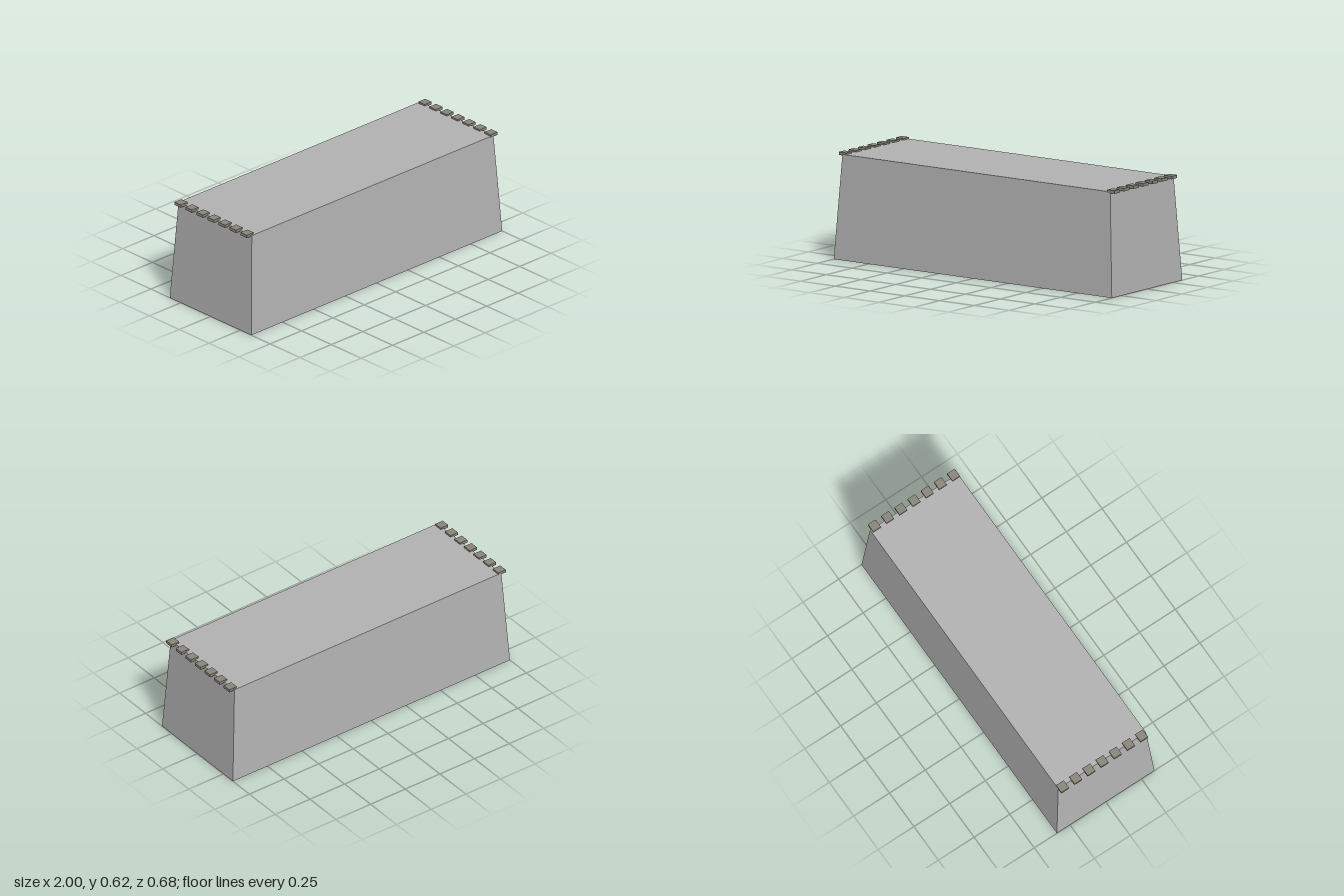
import * as THREE from 'three';

export function createModel() {
  const model = new THREE.Group();
  const stone = new THREE.MeshStandardMaterial({ color: 0xb3b3b3, side: THREE.DoubleSide });
  stone.name = 'light stone';
  const cap = new THREE.MeshStandardMaterial({ color: 0x8a867c });
  cap.name = 'warm grey stone';

  // Tapered wall block, hollow and open underneath
  const height = 0.615;
  const geo = new THREE.BoxGeometry(2, height, 0.683);
  geo.translate(0, height / 2, 0);
  const pos = geo.attributes.position;
  for (let i = 0; i < pos.count; i++) {
    if (pos.getY(i) > 0.1) {
      pos.setX(i, Math.sign(pos.getX(i)) * 0.963);
      pos.setZ(i, Math.sign(pos.getZ(i)) * 0.307);
    }
  }
  // Leave out the bottom face (the fourth of the six)
  const index = Array.from(geo.index.array).filter((_, i) => i < 18 || i >= 24);
  geo.setIndex(index);
  geo.clearGroups();
  geo.computeVertexNormals();
  const body = new THREE.Mesh(geo, stone);
  body.name = 'wallBody';
  model.add(body);

  // A row of seven flat merlons along each end; the rows are slightly offset
  const merlonGeo = new THREE.BoxGeometry(0.054, 0.018, 0.053);
  const rows = [
    { name: 'leftMerlons', x: 0.968, z: 0.281 },
    { name: 'rightMerlons', x: -0.968, z: 0.273 },
  ];
  for (const { name, x, z } of rows) {
    const row = new THREE.Group();
    row.name = name;
    for (let i = 0; i < 7; i++) {
      const merlon = new THREE.Mesh(merlonGeo, cap);
      merlon.name = 'merlon';
      merlon.position.set(x, 0.616, z - i * 0.0923);
      row.add(merlon);
    }
    model.add(row);
  }
  return model;
}
